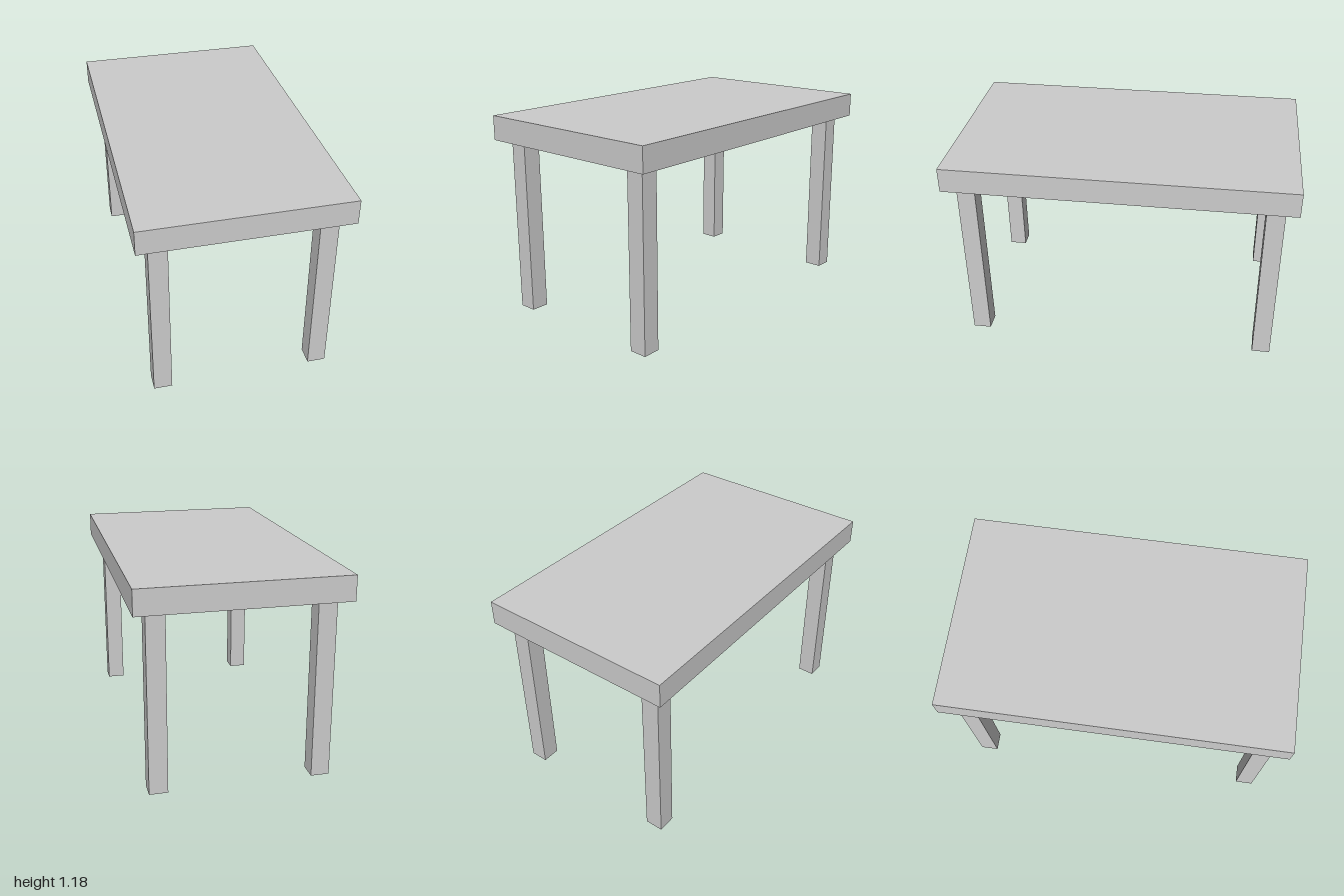
import * as THREE from 'three';

export function createModel() {
  const table = new THREE.Group();
  table.name = 'table';
  const material = new THREE.MeshStandardMaterial({ color: 0xcccccc });

  const height = 1.184, topThickness = 0.144, legWidth = 0.106;
  const legHeight = height - topThickness;

  // Thick rectangular slab
  const top = new THREE.Mesh(new THREE.BoxGeometry(1.18, topThickness, 2), material);
  top.name = 'tableTop';
  top.position.y = height - topThickness / 2;
  table.add(top);

  // Four square legs, set in from the corners
  const legGeometry = new THREE.BoxGeometry(legWidth, legHeight, legWidth);
  for (const [zName, z] of [['front', 0.877], ['back', -0.877]]) {
    for (const [xName, x] of [['Left', 0.465], ['Right', -0.465]]) {
      const leg = new THREE.Mesh(legGeometry, material);
      leg.name = `${zName}${xName}Leg`;
      leg.position.set(x, legHeight / 2, z);
      table.add(leg);
    }
  }
  return table;
}
